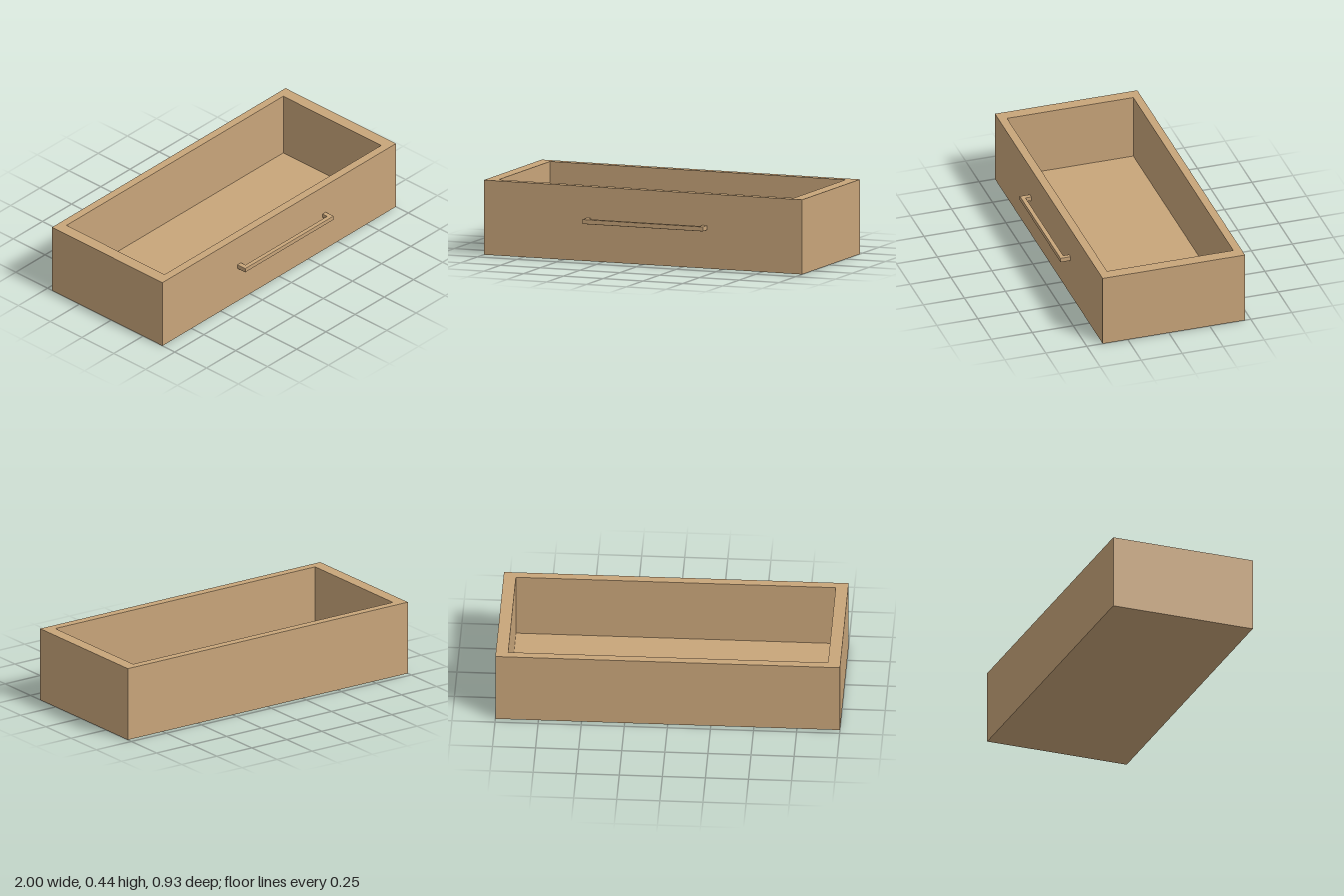
import * as THREE from 'three';

const wood = new THREE.MeshStandardMaterial({ color: 0xc8a57a, flatShading: true });

// Closed outline from [x, z] corners
const outline = (pts) => new THREE.Shape(pts.map(([x, z]) => new THREE.Vector2(x, z)));
const rect = (x, z0, z1) => outline([[-x, z0], [x, z0], [x, z1], [-x, z1]]);

// Extrude an x-z outline downwards from height top
function slab(name, shape, top, height, bevel = 0) {
  const geo = new THREE.ExtrudeGeometry(shape, {
    depth: height - 2 * bevel,
    bevelEnabled: bevel > 0,
    bevelSize: bevel,
    bevelThickness: bevel,
    bevelOffset: -bevel,
    bevelSegments: 2,
  });
  geo.rotateX(Math.PI / 2);
  const mesh = new THREE.Mesh(geo, wood);
  mesh.name = name;
  mesh.position.y = top - bevel;
  return mesh;
}

export function createModel() {
  const group = new THREE.Group();
  group.name = 'drawer';
  const height = 0.437, floor = 0.045;

  // Four walls as one frame, standing on the bottom panel
  const frame = rect(1, -0.465, 0.403);
  frame.holes.push(rect(0.928, -0.417, 0.353));
  group.add(slab('walls', frame, height, height - floor));
  group.add(slab('bottomPanel', rect(1, -0.465, 0.403), floor, floor));

  // Slim pull handle: a bar on two short posts, slightly off centre
  const handle = outline([
    [-0.357, 0.4], [-0.326, 0.4], [-0.326, 0.437], [0.372, 0.437],
    [0.372, 0.4], [0.401, 0.4], [0.401, 0.464], [-0.357, 0.464],
  ]);
  group.add(slab('handle', handle, 0.252, 0.027, 0.003));

  return group;
}
